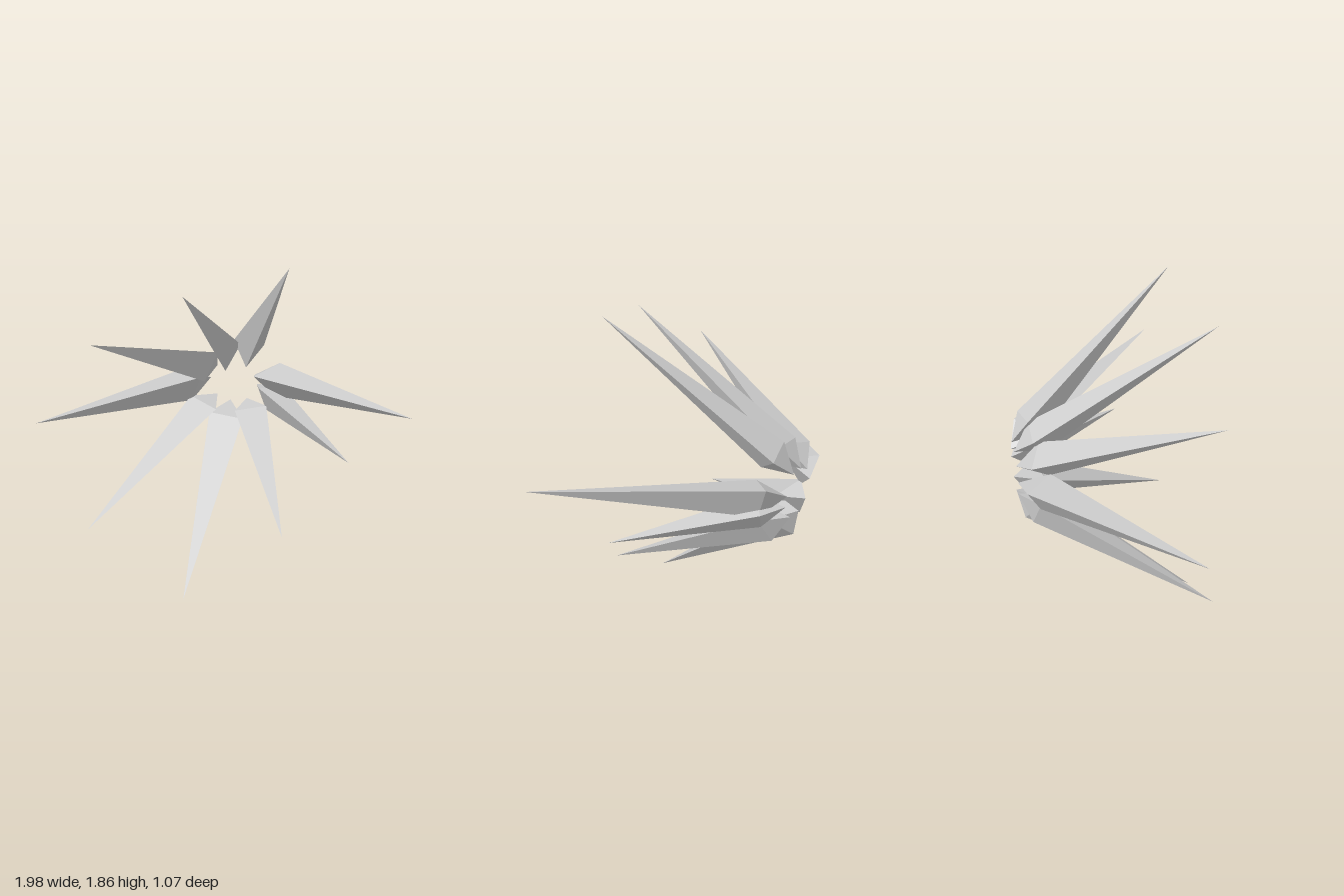
import * as THREE from 'three';

// One three-sided shard: back point, widest ring a little way along, long sharp tip.
function makeShard(back, tip, roll, radius, material) {
  const start = new THREE.Vector3(...back);
  const axis = new THREE.Vector3(...tip).sub(start);
  const length = axis.length();
  axis.normalize();

  const profile = [[0, 0], [radius, 0.145], [0, length]].map(([x, y]) => new THREE.Vector2(x, y));
  const geometry = new THREE.LatheGeometry(profile, 3, -THREE.MathUtils.degToRad(roll));

  // Local y runs along the shard, local z points outward and back.
  const flat = Math.hypot(axis.x, axis.y);
  const outward = new THREE.Vector3((axis.x / flat) * axis.z, (axis.y / flat) * axis.z, -flat);
  const side = new THREE.Vector3().crossVectors(axis, outward);
  const shard = new THREE.Mesh(geometry, material);
  shard.quaternion.setFromRotationMatrix(new THREE.Matrix4().makeBasis(side, axis, outward));
  shard.position.copy(start);
  return shard;
}

export function createModel() {
  const group = new THREE.Group();
  group.name = 'shardBurst';
  const stone = new THREE.MeshStandardMaterial({ color: 0xcccccc, flatShading: true });
  stone.name = 'paleGrey';

  // Back point (x, y), tip (x, y, z), roll in degrees, ring radius
  const shards = [
    [[0.05, 1.075], [0.37, 1.86, 0.40], 45, 0.105],
    [[0.12, 0.98], [0.99, 1.15, 0.45], -35, 0.115],
    [[0.13, 0.92], [0.70, 0.77, 0.19], -35, 0.1],
    [[0.07, 0.825], [0.37, 0.41, 0.40], 32, 0.11],
    [[-0.03, 0.81], [-0.16, 0.005, 0.45], 0, 0.118],
    [[-0.11, 0.845], [-0.69, 0.38, 0.41], -41, 0.108],
    [[-0.15, 0.95], [-0.99, 0.93, 0.26], 30, 0.115],
    [[-0.11, 1.03], [-0.61, 1.45, 0.44], -20, 0.11],
    [[-0.035, 1.07], [-0.12, 1.74, 0.53], 62, 0.105],
  ];
  shards.forEach(([back, tip, roll, radius], i) => {
    const shard = makeShard([...back, -0.54], tip, roll, radius, stone);
    shard.name = `shard${i + 1}`;
    group.add(shard);
  });
  return group;
}
